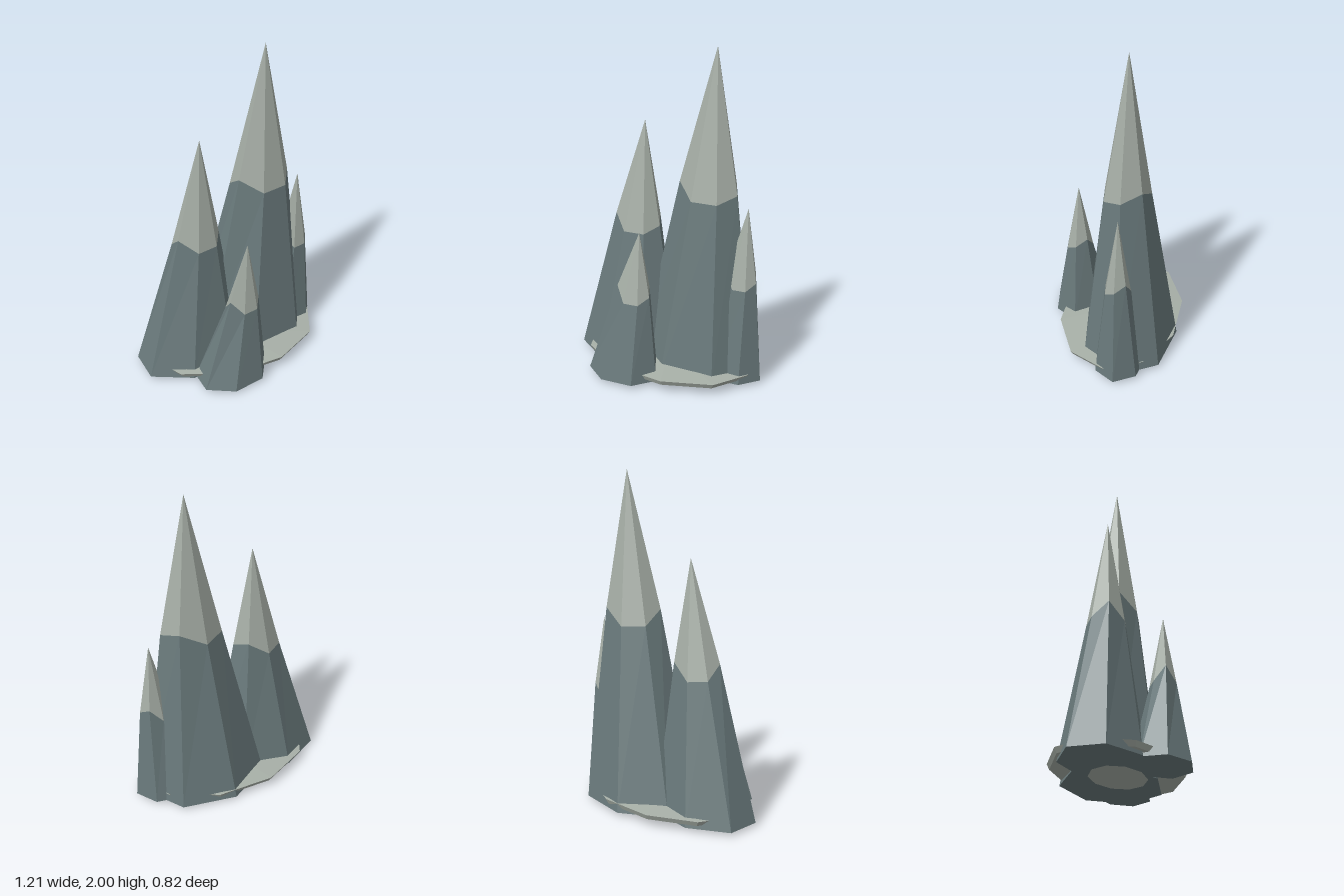
import * as THREE from 'three';

const rock = new THREE.MeshStandardMaterial({ color: 0x6a7a7c });
rock.name = 'slate rock';
const pale = new THREE.MeshStandardMaterial({ color: 0xa7afa7 });
pale.name = 'pale stone';

// Elliptical loop of points running from +x towards +z
function loop(n, cx, cz, rx, rz, height) {
  return Array.from({ length: n }, (_, i) => {
    const a = (i / n) * Math.PI * 2;
    return [cx + rx * Math.cos(a), height(i), cz + rz * Math.sin(a)];
  });
}

// Faceted surface through stacked loops, from bottom to top; a one-point loop closes an end
function loft(name, material, loops) {
  const out = [];
  for (let k = 0; k < loops.length - 1; k++) {
    const lo = loops[k], hi = loops[k + 1];
    const n = Math.max(lo.length, hi.length);
    for (let i = 0; i < n; i++) {
      const a = lo[i % lo.length], a1 = lo[(i + 1) % lo.length];
      const b = hi[i % hi.length], b1 = hi[(i + 1) % hi.length];
      if (lo.length > 1) out.push(...a, ...b, ...a1);
      if (hi.length > 1) out.push(...b, ...b1, ...a1);
    }
  }
  const g = new THREE.BufferGeometry();
  g.setAttribute('position', new THREE.Float32BufferAttribute(out, 3));
  g.computeVertexNormals();
  const mesh = new THREE.Mesh(g, material);
  mesh.name = name;
  return mesh;
}

// Uneven lower edge of the pale caps, shared by all peaks
const jag = [0.04, 0, 0, 0.085, 0, -0.01, 0.08];

// Seven-sided peak: base and shoulder are [cx, cz, rx, rz]
function peak(name, base, shoulder, shoulderY, apex) {
  const group = new THREE.Group();
  group.name = name;
  const foot = loop(7, ...base, () => 0.02);
  const neck = loop(7, ...shoulder, (i) => shoulderY + jag[i]);
  group.add(loft(name + 'Body', rock, [[[base[0], 0.02, base[1]]], foot, neck]));
  group.add(loft(name + 'Tip', pale, [neck, [apex]]));
  return group;
}

export function createModel() {
  const model = new THREE.Group();
  model.name = 'rockSpires';

  model.add(
    peak('mainPeak', [0.155, -0.127, 0.39, 0.293], [0.227, -0.123, 0.187, 0.14], 1.11, [0.26, 2, -0.135]),
    peak('rightPeak', [-0.29, -0.052, 0.347, 0.241], [-0.23, -0.055, 0.15, 0.115], 0.845, [-0.19, 1.525, -0.066]),
    peak('frontPeak', [-0.14, 0.236, 0.232, 0.174], [-0.065, 0.232, 0.107, 0.08], 0.51, [-0.03, 0.94, 0.225]),
    peak('leftPeak', [0.393, -0.12, 0.21, 0.157], [0.461, -0.118, 0.095, 0.077], 0.6, [0.49, 1.09, -0.125])
  );

  // Shallow ten-sided slab under the peaks
  model.add(loft('baseSlab', pale, [
    [[0, 0, -0.05]],
    loop(10, 0, -0.05, 0.54, 0.362, () => 0.045),
    loop(10, 0, -0.05, 0.56, 0.376, () => 0.075),
    [[0, 0.11, -0.05]],
  ]));
  return model;
}
